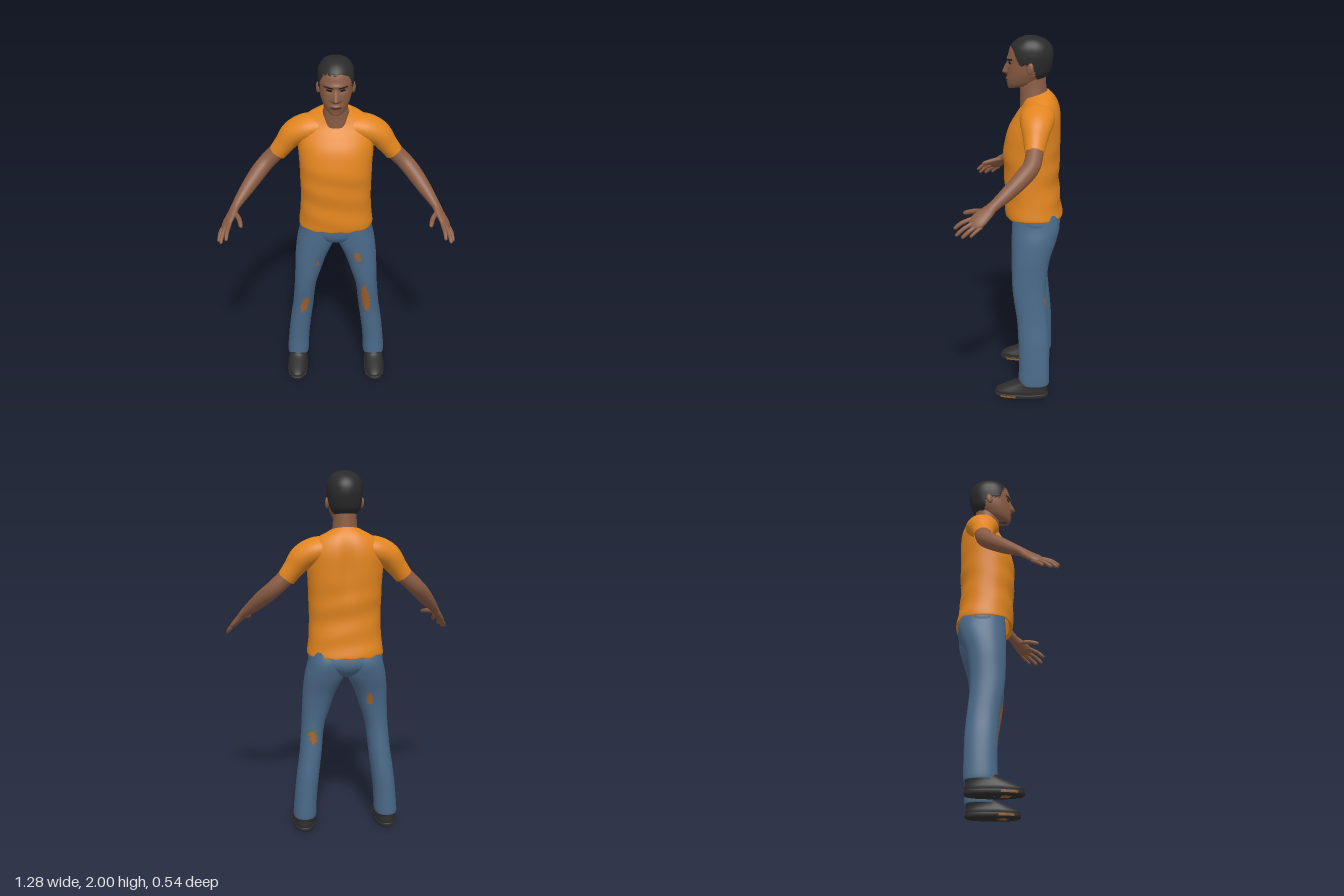
import * as THREE from 'three';

const mat = (name, color, side = THREE.FrontSide) => {
  const m = new THREE.MeshStandardMaterial({ color, side });
  m.name = name;
  return m;
};

// Surface through cross-sections: rows are spline-interpolated, place() turns a row and angle into a point,
// pick() chooses the material index of each triangle from its centre. s = -1 mirrors in x.
function loft(name, rows, rings, cols, place, mats, pick = () => 0, s = 1) {
  const size = rows[0].length;
  const spline = new THREE.CubicInterpolant(rows.map((_, i) => i), rows.flat(), size);
  const at = t => Array.from(spline.evaluate(THREE.MathUtils.clamp(t, 0, rows.length - 1)));
  const pts = [], buckets = mats.map(() => []);
  for (let i = 0; i <= rings; i++) {
    const ring = place(at, (i / rings) * (rows.length - 1));
    for (let j = 0; j < cols; j++) {
      const p = ring((j / cols) * Math.PI * 2);
      p.x *= s;
      pts.push(p);
    }
  }
  const tri = (a, b, c) => {
    const m = pts[a].clone().add(pts[b]).add(pts[c]).divideScalar(3);
    buckets[pick(m.x, m.y, m.z)].push(...(s > 0 ? [a, b, c] : [a, c, b]));
  };
  for (let i = 0; i < rings; i++) for (let j = 0; j < cols; j++) {
    const k = (j + 1) % cols, a = i * cols + j, b = a + cols, c = i * cols + k, d = c + cols;
    tri(a, b, c);
    tri(b, d, c);
  }
  const geo = new THREE.BufferGeometry().setFromPoints(pts);
  geo.setIndex(buckets.flat());
  let start = 0;
  buckets.forEach((b, i) => { geo.addGroup(start, b.length, i); start += b.length; });
  geo.computeVertexNormals();
  const mesh = new THREE.Mesh(geo, mats.length > 1 ? mats : mats[0]);
  mesh.name = name;
  return mesh;
}

// Level sections: [y, centreX, radiusX, zFront, zBack, squareness, tilt]
const level = (shape = p => p) => (at, t) => {
  const [y, cx, rx, zf, zb, e, tilt] = at(t);
  const pow = v => Math.sign(v) * Math.abs(v) ** e;
  return a => {
    const dz = pow(Math.sin(a)) * (zf - zb) / 2;
    return shape(new THREE.Vector3(cx + rx * pow(Math.cos(a)), y + tilt * dz, (zf + zb) / 2 + dz));
  };
};

// Limb sections: [x, y, z, radius along ref, other radius]
const limb = ref => (at, t) => {
  const v = u => new THREE.Vector3(...at(u).slice(0, 3));
  const [x, y, z, ra, rb] = at(t);
  const T = v(t + 0.02).sub(v(t - 0.02)).normalize();
  const S = ref.clone().addScaledVector(T, -T.dot(ref)).normalize();
  const U = S.clone().cross(T);
  return a => new THREE.Vector3(x, y, z).addScaledVector(S, ra * Math.cos(a)).addScaledVector(U, rb * Math.sin(a));
};

const bell = (v, w) => Math.exp(-((v / w) ** 2));
const inside = (x, y, cx, cy, rx, ry, lean = 0) =>
  ((x - cx - lean * (y - cy)) / rx) ** 2 + ((y - cy) / ry) ** 2 < 1 + 0.25 * Math.sin(y * 210 + x * 90);

export function createModel() {
  const g = new THREE.Group();
  g.name = 'standingMan';
  const skin = mat('skin', 0x8a5c44), shirt = mat('orangeCloth', 0xe2851f, THREE.DoubleSide);
  const denim = mat('denim', 0x4a6988, THREE.DoubleSide), patch = mat('rustPatch', 0xa0622c);
  const hair = mat('blackHair', 0x2a2a2b), leather = mat('blackLeather', 0x2d2d2e);
  const lips = mat('lips', 0x6f4537), dark = mat('darkEye', 0x1d1715);

  // Head with nose, brows, eyes, mouth and cropped hair
  const hairline = (x, z) => {
    const step = THREE.MathUtils.smoothstep;
    const h = 1.937 - 0.087 * (1 - step(z, -0.035, 0.008)) - 0.08 * (1 - step(z, -0.125, -0.1));
    return h + 0.005 * Math.sin(x * 170 + z * 230);
  };
  const face = p => {
    if (p.z > -0.02) {
      const k = p.y > 1.805 ? THREE.MathUtils.clamp((1.872 - p.y) / 0.065, 0, 1) : Math.max(0, 1 - (1.805 - p.y) / 0.016);
      const ax = Math.abs(p.x);
      p.z += 0.029 * k * bell(p.x, 0.010 + 0.009 * k)
        - 0.009 * bell(ax - 0.035, 0.018) * bell(p.y - 1.855, 0.012)
        + 0.006 * bell(p.y - 1.88, 0.01) * bell(ax, 0.06)
        + 0.007 * bell(p.y - 1.767, 0.012) * bell(ax, 0.03);
    }
    if (p.y > hairline(p.x, p.z)) {
      p.x *= 1.04;
      p.z += p.z < -0.08 ? -0.003 : 0.003;
    }
    return p;
  };
  const facePart = (x, y, z) => {
    if (y > hairline(x, z)) return 1;
    const ax = Math.abs(x);
    if (z < -0.01) return 0;
    if (Math.abs(y - 1.872 - 0.12 * (ax - 0.035)) < 0.005 && ax > 0.013 && ax < 0.062) return 1;
    if (((ax - 0.035) / 0.016) ** 2 + ((y - 1.855) / 0.0055) ** 2 < 1) return 2;
    if ((x / 0.029) ** 2 + ((y - 1.766) / 0.009) ** 2 < 1) return Math.abs(y - 1.767) < 0.0015 ? 2 : 3;
    return 0;
  };
  g.add(loft('head', [
    [1.724, 0, 0.01, 0.02, -0.04, 1, -0.1], [1.728, 0, 0.038, 0.032, -0.10, 1, -0.13],
    [1.745, 0, 0.058, 0.037, -0.14, 0.95, -0.12], [1.775, 0, 0.073, 0.04, -0.165, 0.92, -0.06],
    [1.81, 0, 0.084, 0.038, -0.188, 0.9, 0], [1.86, 0, 0.09, 0.036, -0.202, 0.9, 0],
    [1.90, 0, 0.092, 0.033, -0.206, 0.92, 0], [1.94, 0, 0.087, 0.02, -0.197, 0.95, 0],
    [1.975, 0, 0.067, -0.012, -0.168, 1, 0], [1.994, 0, 0.036, -0.05, -0.122, 1, 0],
    [2.0, 0, 0.002, -0.083, -0.087, 1, 0],
  ], 130, 96, level(face), [skin, hair, dark, lips], facePart));
  g.add(loft('neck', [
    [1.62, 0, 0.075, -0.03, -0.185, 1, 0], [1.68, 0, 0.069, -0.03, -0.178, 1, 0],
    [1.73, 0, 0.064, -0.03, -0.172, 1, 0], [1.79, 0, 0.062, -0.04, -0.168, 1, 0],
  ], 10, 32, level(), [skin]));

  // T-shirt body with soft folds and a hollow between the shoulder blades
  const folds = p => {
    const back = THREE.MathUtils.smoothstep(-p.z, 0.13, 0.24);
    p.z += 0.02 * back * bell(p.x, 0.035) * bell(p.y - 1.5, 0.16);
    p.z += 0.003 * Math.sin(p.y * 42 + p.x * 9) * (1 - THREE.MathUtils.smoothstep(p.y, 1.3, 1.5));
    p.y += 0.003 * Math.sin(p.x * 70) * bell(p.y - 1.02, 0.02);
    return p;
  };
  g.add(loft('shirtBody', [
    [1.035, 0, 0.19, 0.03, -0.245, 0.85, 0], [1.02, 0, 0.208, 0.048, -0.267, 0.85, 0],
    [1.1, 0, 0.2, 0.05, -0.258, 0.85, 0], [1.2, 0, 0.195, 0.052, -0.247, 0.85, 0],
    [1.3, 0, 0.197, 0.058, -0.25, 0.85, 0], [1.4, 0, 0.2, 0.057, -0.255, 0.85, 0],
    [1.5, 0, 0.207, 0.035, -0.257, 0.9, -0.03], [1.57, 0, 0.208, 0.0, -0.254, 0.95, -0.06],
    [1.62, 0, 0.188, -0.03, -0.243, 1, -0.1], [1.655, 0, 0.15, -0.045, -0.222, 1, -0.2],
    [1.68, 0, 0.1, -0.05, -0.197, 1, -0.3], [1.689, 0, 0.077, -0.052, -0.183, 1, -0.35],
    [1.672, 0, 0.066, -0.06, -0.172, 1, -0.35],
  ], 72, 64, level(folds), [shirt]));

  // Jeans seat
  g.add(loft('jeansSeat', [
    [0.9, 0, 0.04, -0.05, -0.19, 0.9, 0], [0.93, 0, 0.12, -0.005, -0.235, 0.9, 0],
    [0.98, 0, 0.2, 0.008, -0.258, 0.85, 0], [1.06, 0, 0.193, 0, -0.24, 0.85, 0],
  ], 16, 48, level(), [denim]));

  // Worn patches: [x, y, radiusX, radiusY, lean, front or back]
  const patches = [
    [-0.185, 0.48, 0.022, 0.055, 0.25, 1], [-0.105, 0.78, 0.008, 0.016, 0, 1],
    [0.175, 0.53, 0.025, 0.095, -0.12, 1], [0.125, 0.83, 0.017, 0.032, -0.2, 1],
    [0.19, 0.56, 0.022, 0.035, 0.2, -1], [-0.125, 0.77, 0.016, 0.035, 0, -1],
  ];
  const worn = (x, y, z) => +patches.some(([px, py, rx, ry, lean, f]) =>
    (z + 0.1) * f > 0 && inside(x, y, px, py, rx, ry, lean));
  const across = new THREE.Vector3(-0.57, 0.45, 0.68), forward = new THREE.Vector3(0, 0, 1);

  for (const [side, s] of [['left', 1], ['right', -1]]) {
    const add = (part, rows, rings, cols, place, mats, pick) =>
      g.add(loft(side + part, rows, rings, cols, place, mats, pick, s));

    // Jeans leg
    add('JeansLeg', [
      [0.1, 0.232, 0.046, -0.055, -0.195, 0.9, 0], [0.085, 0.232, 0.063, -0.038, -0.21, 0.9, 0],
      [0.2, 0.225, 0.062, -0.04, -0.21, 0.9, 0], [0.33, 0.211, 0.062, -0.035, -0.208, 0.9, 0],
      [0.45, 0.195, 0.061, -0.026, -0.198, 0.9, 0], [0.6, 0.18, 0.063, -0.003, -0.185, 0.9, 0],
      [0.7, 0.163, 0.075, 0.004, -0.19, 0.9, 0], [0.8, 0.144, 0.09, 0.006, -0.207, 0.9, 0],
      [0.9, 0.116, 0.107, 0.008, -0.24, 0.9, 0], [0.98, 0.105, 0.1, 0.006, -0.255, 0.9, 0],
      [1.06, 0.1, 0.093, 0, -0.235, 0.9, 0],
    ], 130, 56, level(), [denim, patch], worn);

    // Shoe upper and sole
    add('Shoe', [
      [0.02, 0.235, 0.055, 0.09, -0.2, 0.8, 0], [0.04, 0.235, 0.058, 0.092, -0.202, 0.85, 0],
      [0.058, 0.235, 0.055, 0.065, -0.2, 0.9, 0], [0.075, 0.234, 0.053, 0.025, -0.2, 0.9, 0],
      [0.095, 0.232, 0.055, -0.025, -0.204, 0.9, 0], [0.12, 0.232, 0.052, -0.05, -0.2, 0.9, 0],
      [0.125, 0.232, 0.004, -0.12, -0.13, 1, 0],
    ], 30, 40, level(), [leather]);
    add('Sole', [
      [0.004, 0.235, 0.003, -0.05, -0.06, 1, 0], [0.002, 0.235, 0.03, 0.04, -0.15, 0.9, 0],
      [0.004, 0.235, 0.056, 0.09, -0.2, 0.8, 0], [0.024, 0.235, 0.061, 0.098, -0.206, 0.8, 0],
      [0.03, 0.235, 0.052, 0.085, -0.196, 0.8, 0],
    ], 24, 48, level(), [leather, patch], (x, y, z) =>
      +((y > 0.01 && y < 0.022 && z > -0.03 && z < 0.06) || (y < 0.004 && inside(x, z, s * 0.235, 0.0, 0.025, 0.03))));

    // Sleeve
    add('Sleeve', [
      [0.08, 1.6, -0.13, 0.085, 0.06], [0.16, 1.585, -0.13, 0.094, 0.072], [0.23, 1.55, -0.128, 0.082, 0.069],
      [0.28, 1.49, -0.125, 0.063, 0.056], [0.32, 1.437, -0.123, 0.051, 0.05],
    ], 28, 36, limb(forward), [shirt]);

    // Arm and palm
    add('Arm', [
      [0.25, 1.53, -0.125, 0.048, 0.048], [0.31, 1.455, -0.125, 0.046, 0.046], [0.38, 1.385, -0.112, 0.046, 0.045],
      [0.43, 1.335, -0.07, 0.045, 0.044], [0.485, 1.275, -0.005, 0.038, 0.037], [0.54, 1.215, 0.07, 0.029, 0.024],
      [0.56, 1.185, 0.105, 0.037, 0.02], [0.587, 1.148, 0.15, 0.043, 0.017], [0.6, 1.13, 0.178, 0.022, 0.007],
      [0.602, 1.128, 0.181, 0.002, 0.001],
    ], 56, 28, limb(across), [skin]);

    // Fingers and thumb: root, bend, tip
    const digits = {
      Thumb: [[0.55, 1.19, 0.105], [0.52, 1.182, 0.165], [0.503, 1.165, 0.23]],
      IndexFinger: [[0.568, 1.16, 0.17], [0.58, 1.137, 0.227], [0.585, 1.105, 0.268]],
      MiddleFinger: [[0.586, 1.145, 0.16], [0.606, 1.115, 0.215], [0.616, 1.079, 0.257]],
      RingFinger: [[0.597, 1.133, 0.145], [0.62, 1.104, 0.189], [0.631, 1.073, 0.225]],
      LittleFinger: [[0.604, 1.126, 0.125], [0.623, 1.103, 0.156], [0.634, 1.08, 0.182]],
    };
    for (const [part, [root, bend, tip]] of Object.entries(digits)) {
      const w = part === 'Thumb' ? 0.013 : part === 'LittleFinger' ? 0.009 : 0.011;
      const mix = (a, b, k) => a.map((v, i) => v + (b[i] - v) * k);
      add(part, [[...root, w, w], [...bend, w, w], [...mix(bend, tip, 0.8), w * 0.85, w * 0.8], [...tip, 0.001, 0.001]],
        14, 12, limb(across.clone().add(new THREE.Vector3(0, 0.3, -1))), [skin]);
    }

    // Ear
    const ear = new THREE.Mesh(new THREE.SphereGeometry(1, 20, 14), skin);
    ear.name = side + 'Ear';
    ear.scale.set(0.011, 0.031, 0.019);
    ear.position.set(s * 0.093, 1.832, -0.088);
    ear.rotation.set(-0.15, s * -0.25, 0);
    g.add(ear);
  }
  return g;
}
